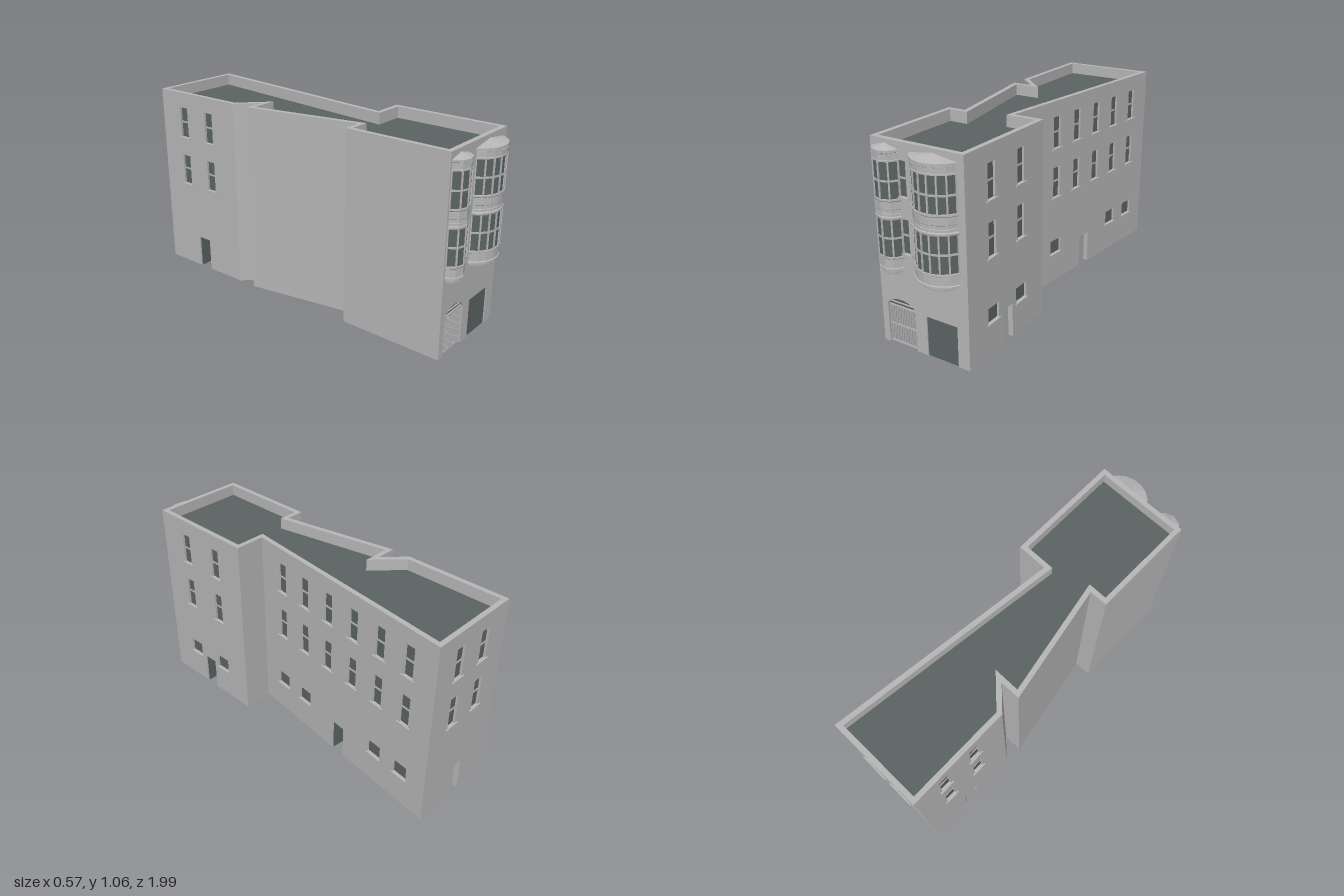
import * as THREE from 'three';

const H = 1.062, T = 0.027, ROOF_Y = 1.0;
const stone = new THREE.MeshStandardMaterial({ color: 0xb6b6b6 });
stone.name = 'grey stone';
const dark = new THREE.MeshStandardMaterial({ color: 0x5b6463, side: THREE.DoubleSide });
dark.name = 'dark slate glass';

// Footprint corners [x, z], walked so that the outside is on the right hand
const plan = [
  [-0.25, 0.915], [0.275, 0.915], [0.275, 0.273], [0.108, 0.273], [0.255, -0.99], [-0.277, -0.99],
  [-0.27, -0.415], [-0.16, -0.307], [-0.27, -0.307], [-0.15, 0.335], [-0.25, 0.335],
];
const N = plan.length;

function add(parent, name, geo, mat, x = 0, y = 0, z = 0) {
  const m = new THREE.Mesh(geo, mat);
  m.name = name;
  m.position.set(x, y, z);
  parent.add(m);
  return m;
}
const box = (w, h, d) => new THREE.BoxGeometry(w, h, d);

// Edge direction, outward normal and length, plus the mitre at each corner
const edges = plan.map((p, i) => {
  const q = plan[(i + 1) % N], L = Math.hypot(q[0] - p[0], q[1] - p[1]);
  const d = [(q[0] - p[0]) / L, (q[1] - p[1]) / L];
  return { p, q, L, d, n: [-d[1], d[0]] };
});
const mitre = edges.map((e, i) => {
  const a = edges[(i + N - 1) % N];
  const turn = Math.atan2(-(e.d[0] * a.n[0] + e.d[1] * a.n[1]), e.d[0] * a.d[0] + e.d[1] * a.d[1]);
  return T * Math.tan(turn / 2);
});

// Openings per wall; "at" is the world coordinate along the wall's main axis
const sash = (at) => [
  { kind: 'sash', at, w: 0.058, y0: 0.8, y1: 0.975, bar: 0.889 },
  { kind: 'sash', at, w: 0.058, y0: 0.515, y1: 0.69, bar: 0.608 },
];
const low = (at) => ({ kind: 'low', at, w: 0.09, y0: 0.172, y1: 0.255 });
const door = (at) => ({ kind: 'door', at, w: 0.086, y0: 0, y1: 0.187 });
const openings = {
  0: [...sash(-0.079), { kind: 'gate', at: -0.127, w: 0.174, y0: 0, y1: 0.205, rise: 0.052 },
    { kind: 'garage', at: 0.117, w: 0.182, y0: 0, y1: 0.215 }],
  1: [...[0.717, 0.476].flatMap(sash), low(0.717), low(0.476), door(0.597)],
  3: [...[0.102, -0.082, -0.267, -0.453, -0.637, -0.823].flatMap(sash),
    ...[0.107, -0.082, -0.637, -0.823].map(low), door(-0.361)],
  4: [...[0.085, -0.107].flatMap(sash), door(-0.01)],
  5: [...[-0.815, -0.615].flatMap(sash), door(-0.705)],
};

// One mitred wall with its openings cut through
function wallGeometry(i, list) {
  const { L } = edges[i], shape = new THREE.Shape();
  shape.moveTo(0, 0);
  list.filter((o) => o.y0 === 0).sort((a, b) => a.s - b.s).forEach((o) => {
    shape.lineTo(o.s - o.w / 2, 0);
    shape.lineTo(o.s - o.w / 2, o.y1);
    if (o.rise) shape.absellipse(o.s, o.y1, o.w / 2, o.rise, Math.PI, 0, true, 0);
    else shape.lineTo(o.s + o.w / 2, o.y1);
    shape.lineTo(o.s + o.w / 2, 0);
  });
  shape.lineTo(L, 0);
  shape.lineTo(L, H);
  shape.lineTo(0, H);
  list.filter((o) => o.y0 > 0).forEach((o) => {
    const a = o.s - o.w / 2, b = o.s + o.w / 2;
    shape.holes.push(new THREE.Path([[a, o.y0], [a, o.y1], [b, o.y1], [b, o.y0]].map((v) => new THREE.Vector2(...v))));
  });
  const g = new THREE.ExtrudeGeometry(shape, { depth: T, bevelEnabled: false, curveSegments: 16 });
  g.translate(0, 0, -T);
  const pos = g.attributes.position;
  for (let k = 0; k < pos.count; k++) {
    if (pos.getZ(k) > -T / 2) continue;
    const x = pos.getX(k);
    if (x < 1e-5) pos.setX(k, mitre[i]);
    else if (x > L - 1e-5) pos.setX(k, L - mitre[(i + 1) % N]);
  }
  g.computeVertexNormals();
  return g;
}

function fillOpening(wall, o) {
  const h = o.y1 - o.y0, mid = (o.y0 + o.y1) / 2;
  if (o.kind === 'sash' || o.kind === 'low') {
    add(wall, 'windowGlass', box(o.w, h, 0.004), dark, o.s, mid, -0.014);
    add(wall, 'windowSill', box(o.w + (o.bar ? 0.03 : 0.012), 0.009, 0.016), stone, o.s, o.y0 - 0.0045, 0);
    if (o.bar) add(wall, 'sashBar', box(o.w, 0.009, 0.005), stone, o.s, o.bar, -0.0105);
  } else if (o.kind === 'door') {
    // leaf standing open into the building
    add(wall, 'openDoor', box(0.005, h, o.w), dark, o.s - o.w / 2 + 0.003, mid, -0.008 - o.w / 2);
  } else if (o.kind === 'garage') {
    add(wall, 'garageDoor', box(o.w, h, 0.006), dark, o.s, mid, -0.009);
  } else {
    // barred gate below a glazed arch
    const arch = new THREE.Shape();
    arch.absellipse(o.s, o.y1, o.w / 2, o.rise, 0, Math.PI, false, 0);
    add(wall, 'archGlass', new THREE.ShapeGeometry(arch, 20), dark, 0, 0, -0.016);
    add(wall, 'archBar', box(o.w * 0.92, 0.005, 0.006), stone, o.s, 0.229, -0.013);
    for (const y of [0.008, 0.105, 0.209]) add(wall, 'gateRail', box(o.w, 0.007, 0.007), stone, o.s, y, -0.013);
    for (let k = 0; k <= 16; k++) {
      add(wall, 'gateBar', box(0.004, o.y1, 0.004), stone, o.s + (k / 16 - 0.5) * (o.w - 0.005), o.y1 / 2, -0.013);
    }
  }
}

// Faceted bay: rows of [scale, y], bottom to top, swept round an arc plan
function bayLoft(ring, rows) {
  const v = [];
  const at = (i, j) => [ring[i][0] * rows[j][0], rows[j][1], ring[i][1] * rows[j][0]];
  for (let j = 0; j < rows.length - 1; j++) {
    for (let i = 0; i < ring.length - 1; i++) {
      const a = at(i, j), b = at(i + 1, j), c = at(i + 1, j + 1), d = at(i, j + 1);
      v.push(...a, ...b, ...c, ...a, ...c, ...d);
    }
  }
  const g = new THREE.BufferGeometry();
  g.setAttribute('position', new THREE.Float32BufferAttribute(v, 3));
  g.computeVertexNormals();
  return g;
}

function makeBay(name, cx, half, depth, segs) {
  const bay = new THREE.Group();
  bay.name = name;
  bay.position.set(cx, 0, 0.915);
  const R = (half * half + depth * depth) / (2 * depth), A = Math.asin(half / R);
  const ring = [];
  for (let i = 0; i <= segs; i++) {
    const a = A * (2 * i / segs - 1);
    ring.push([R * Math.sin(a), R * (Math.cos(a) - Math.cos(A))]);
  }
  const loft = (part, mat, rows) => add(bay, part, bayLoft(ring, rows), mat);
  loft('bayBase', stone, [[0.01, 0.402], [0.58, 0.402], [0.62, 0.412], [0.76, 0.412], [0.78, 0.424], [0.9, 0.427],
    [0.9, 0.434], [1, 0.437], [1, 0.443], [0.95, 0.446], [0.95, 0.49], [1, 0.493], [1, 0.502], [0.9, 0.503]]);
  loft('bayMiddle', stone, [[0.9, 0.688], [0.97, 0.688], [1, 0.694], [1, 0.702], [0.95, 0.706], [0.95, 0.718], [0.93, 0.72],
    [0.93, 0.737], [0.95, 0.739], [0.95, 0.777], [1, 0.781], [1, 0.79], [0.9, 0.791]]);
  loft('bayCornice', stone, [[0.9, 0.968], [0.97, 0.968], [0.97, 0.975], [0.95, 0.977], [0.95, 1.008],
    [1, 1.01], [1, 1.022], [0.01, 1.042]]);
  for (const [y0, y1, bar] of [[0.502, 0.69, 0.597], [0.79, 0.97, 0.877]]) {
    loft('bayGlass', dark, [[0.92, y0], [0.92, y1]]);
    loft('bayTransom', stone, [[0.91, bar - 0.005], [0.955, bar - 0.005], [0.955, bar + 0.005], [0.91, bar + 0.005]]);
    ring.forEach(([x, z], i) => {
      const m = add(bay, 'bayMullion', box(0.008, y1 - y0, 0.008), stone, x * 0.935, (y0 + y1) / 2, z * 0.935);
      m.rotation.y = A * (2 * i / segs - 1);
    });
  }
  // dentils under the cornice
  for (let i = 0; i < segs; i++) {
    const n = Math.max(3, Math.round(2 * R * Math.sin(A / segs) / 0.009));
    for (let k = 0; k < n; k++) {
      const f = (k + 0.5) / n, p = [0, 1].map((c) => 0.965 * (ring[i][c] * (1 - f) + ring[i + 1][c] * f));
      const m = add(bay, 'dentil', box(0.005, 0.008, 0.005), stone, p[0], 1.004, p[1]);
      m.rotation.y = A * ((2 * i + 1) / segs - 1);
    }
  }
  return bay;
}

export function createModel() {
  const model = new THREE.Group();
  model.name = 'cornerBuilding';

  edges.forEach((e, i) => {
    const wall = new THREE.Group();
    wall.name = 'wallSide';
    wall.position.set(e.p[0], 0, e.p[1]);
    wall.rotation.y = Math.atan2(-e.d[1], e.d[0]);
    const axis = Math.abs(e.d[0]) > Math.abs(e.d[1]) ? 0 : 1;
    const list = (openings[i] || []).map((o) => ({ ...o, s: (o.at - e.p[axis]) / e.d[axis] }));
    add(wall, 'wall', wallGeometry(i, list), stone);
    list.forEach((o) => fillOpening(wall, o));
    model.add(wall);
  });

  // Flat roof set down inside the parapet
  const inner = edges.map((e, i) => new THREE.Vector2(
    e.p[0] + e.d[0] * mitre[i] - e.n[0] * T, -(e.p[1] + e.d[1] * mitre[i] - e.n[1] * T)));
  const roof = new THREE.ShapeGeometry(new THREE.Shape(inner));
  roof.rotateX(-Math.PI / 2);
  add(model, 'roof', roof, dark, 0, ROOF_Y, 0);

  model.add(makeBay('smallBay', -0.163, 0.077, 0.056, 4));
  model.add(makeBay('largeBay', 0.108, 0.133, 0.083, 7));
  return model;
}
